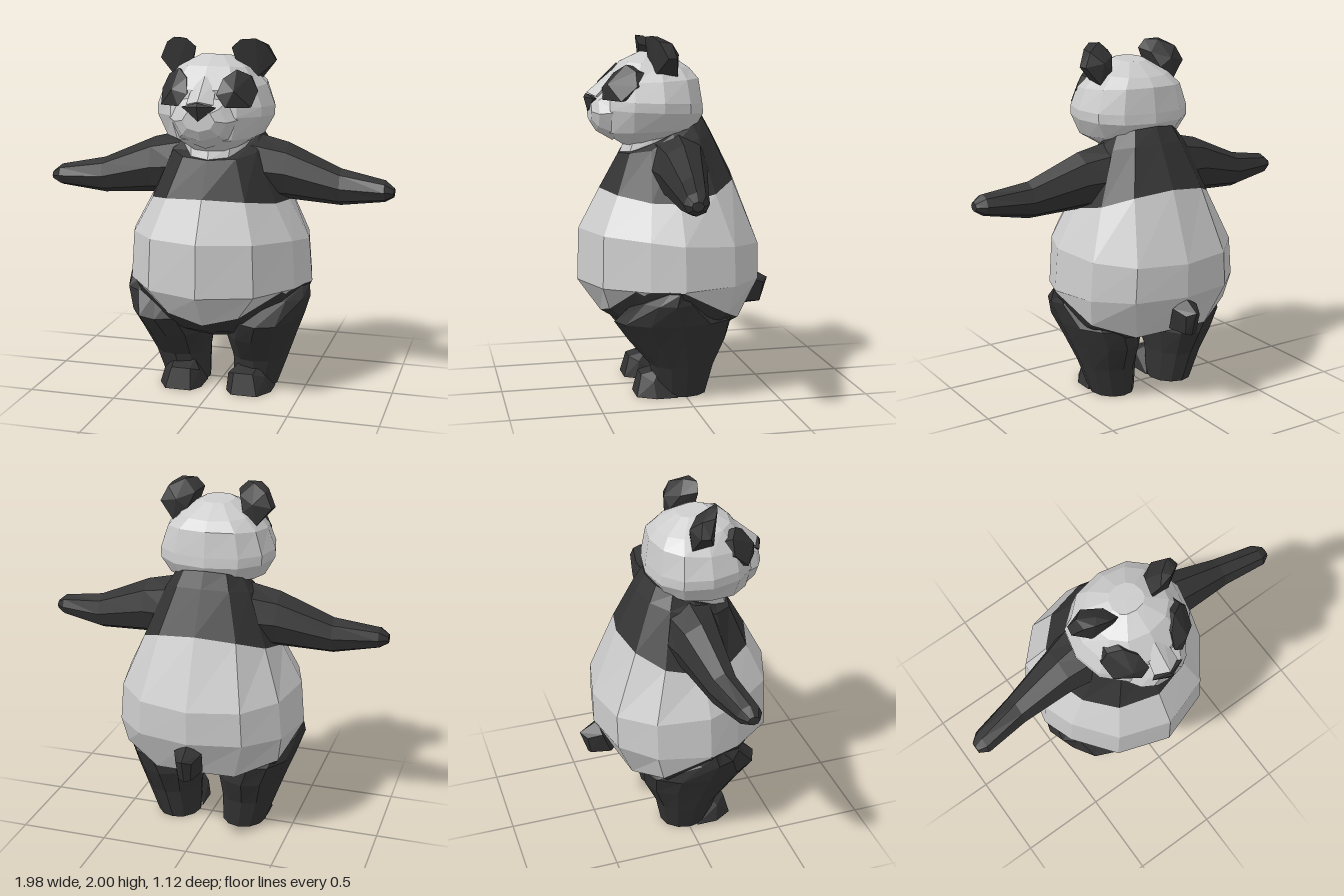
import * as THREE from 'three';
import { ConvexGeometry } from 'three/addons/geometries/ConvexGeometry.js';

const V = (x, y, z) => new THREE.Vector3(x, y, z);
const lerp = THREE.MathUtils.lerp;
const white = new THREE.MeshStandardMaterial({ color: 0xcccccc, flatShading: true });
const black = new THREE.MeshStandardMaterial({ color: 0x333333, flatShading: true });

// Closed skin through rings of points (counter-clockwise around the direction of travel)
function loft(rings) {
  const n = rings[0].length, pos = [];
  const tri = (...p) => p.forEach(v => pos.push(v.x, v.y, v.z));
  for (let r = 0; r < rings.length - 1; r++) {
    for (let j = 0; j < n; j++) {
      const k = (j + 1) % n;
      const a = rings[r][j], b = rings[r][k], c = rings[r + 1][k], d = rings[r + 1][j];
      tri(a, b, c);
      tri(a, c, d);
    }
  }
  const centre = ring => ring.reduce((s, p) => s.add(p), V(0, 0, 0)).divideScalar(n);
  const first = rings[0], last = rings[rings.length - 1];
  const c0 = centre(first), c1 = centre(last);
  for (let j = 0; j < n; j++) {
    const k = (j + 1) % n;
    tri(c0, first[k], first[j]);
    tri(c1, last[j], last[k]);
  }
  const g = new THREE.BufferGeometry();
  g.setAttribute('position', new THREE.Float32BufferAttribute(pos, 3));
  g.computeVertexNormals();
  return g;
}

const angles = n => Array.from({ length: n }, (_, i) => (i / n) * Math.PI * 2);

// Tilted horizontal ring: heights and depths at front and back, half width, side offset.
// A larger front power gives a more pointed front; the back stays round.
function ring(yf, yb, w, zf, zb, zc = 0.05, power = 1.5, dip = 0) {
  return angles(12).map(a => {
    const s = Math.sin(a), c = Math.cos(a);
    const x = Math.sign(s) * w * Math.pow(Math.abs(s), 0.85);
    const depth = c > 0 ? Math.pow(c, power) * (zf - zc) : Math.pow(-c, 0.88) * (zb - zc);
    return V(x, lerp(yf, yb, (1 - c) / 2) + dip * s * s, zc + depth);
  });
}

const mirrorPoints = pts => pts.map(p => V(-p.x, p.y, p.z));
const mirrorRings = rings => rings.map(r => mirrorPoints(r).reverse());

export function createModel() {
  const model = new THREE.Group();
  const add = (name, geometry, material) => {
    const m = new THREE.Mesh(geometry, material);
    m.name = name;
    model.add(m);
  };
  const points = list => list.map(p => V(...p));
  const pairLoft = (name, rings, mat) => {
    add('left' + name, loft(rings), mat);
    add('right' + name, loft(mirrorRings(rings)), mat);
  };
  const pairHull = (name, pts, mat) => {
    add('left' + name, new ConvexGeometry(pts), mat);
    add('right' + name, new ConvexGeometry(mirrorPoints(pts)), mat);
  };

  // Seam between belly and hips, one half from front to back, then mirrored
  const seamHalf = points([
    [0, 0.45, 0.43], [0.2, 0.5, 0.41], [0.42, 0.643, 0.305], [0.535, 0.643, 0.06],
    [0.45, 0.5, -0.2], [0.23, 0.42, -0.32], [0, 0.44, -0.365],
  ]);
  const hipSeam = [...seamHalf, ...mirrorPoints(seamHalf.slice(1, 6)).reverse()];
  const chestSeam = ring(1.155, 1.235, 0.4, 0.43, -0.33, 0.05, 1.35, -0.09);

  // Torso
  add('belly', loft([
    hipSeam,
    ring(0.635, 0.66, 0.537, 0.56, -0.48),
    ring(0.93, 0.85, 0.517, 0.55, -0.48),
    chestSeam,
  ]), white);
  add('hips', loft([
    ring(0.325, 0.33, 0.2, 0.2, -0.1),
    ring(0.38, 0.38, 0.42, 0.32, -0.24),
    hipSeam,
  ]), black);
  add('chest', loft([
    chestSeam,
    ring(1.35, 1.47, 0.27, 0.32, -0.21, 0.05, 1.1),
    ring(1.375, 1.56, 0.22, 0.24, -0.16, 0.05, 1.1),
  ]), black);
  add('throat', loft([
    ring(1.345, 1.45, 0.19, 0.315, -0.08, 0.05, 1.1),
    ring(1.41, 1.5, 0.2, 0.29, -0.08, 0.05, 1.1),
  ]), white);

  // Head
  const headRing = (yf, yb, w, zf, zb) => ring(yf, yb, w, zf, zb, 0.12, 0.95);
  add('head', loft([
    headRing(1.395, 1.45, 0.15, 0.29, 0.03),
    headRing(1.47, 1.5, 0.27, 0.41, -0.12),
    headRing(1.6, 1.575, 0.328, 0.43, -0.16),
    headRing(1.65, 1.63, 0.33, 0.42, -0.155),
    headRing(1.74, 1.77, 0.285, 0.41, -0.135),
    headRing(1.86, 1.82, 0.21, 0.31, -0.09),
    headRing(1.915, 1.895, 0.09, 0.19, 0.02),
  ]), white);

  // Muzzle, lofted forwards: depth, low, high, half width
  add('muzzle', loft([
    [0.35, 1.42, 1.76, 0.21], [0.445, 1.475, 1.68, 0.145], [0.48, 1.53, 1.645, 0.09],
  ].map(([z, lo, hi, w]) => angles(8).map(a =>
    V(w * Math.cos(a), (lo + hi) / 2 + (hi - lo) / 2 * Math.sin(a), z)))), white);
  add('noseBridge', new ConvexGeometry(points([
    [0, 1.81, 0.355], [0.06, 1.79, 0.34], [-0.06, 1.79, 0.34], [0, 1.69, 0.495],
    [0.075, 1.67, 0.455], [-0.075, 1.67, 0.455], [0, 1.65, 0.4],
  ])), white);
  add('nose', new ConvexGeometry(points([
    [0.095, 1.66, 0.47], [-0.095, 1.66, 0.47], [0, 1.685, 0.5],
    [0, 1.665, 0.512], [0, 1.585, 0.49], [0, 1.65, 0.4],
  ])), black);

  // Eye patches: an outline around a raised middle, with some thickness behind it
  const patch = points([
    [0.08, 1.72, 0.42], [0.1, 1.8, 0.36], [0.16, 1.845, 0.3], [0.228, 1.81, 0.26],
    [0.268, 1.73, 0.26], [0.25, 1.65, 0.345], [0.13, 1.655, 0.425], [0.17, 1.74, 0.405],
  ]);
  const patchBack = patch.map(p => V(lerp(p.x, 0.17, 0.15), lerp(p.y, 1.74, 0.15), p.z - 0.07));
  pairHull('EyePatch', [...patch, ...patchBack], black);

  // Ears flare out from a narrow base
  pairHull('Ear', points([
    [0.33, 1.88, 0.1], [0.28, 1.97, 0.14], [0.23, 2, 0.17], [0.15, 1.995, 0.19],
    [0.1, 1.95, 0.18], [0.125, 1.87, 0.17], [0.235, 1.79, 0.15],
    [0.32, 1.88, 0.05], [0.28, 1.96, 0.07], [0.2, 1.995, 0.13], [0.13, 1.93, 0.09],
    [0.16, 1.85, 0.04], [0.24, 1.78, 0.03], [0.22, 1.9, 0.02],
  ]), black);

  // Arms, lofted outwards: x, low, high, back, front
  pairLoft('Arm', [
    [0.2, 1.1, 1.47, -0.16, 0.2], [0.39, 1.105, 1.425, -0.1, 0.165],
    [0.69, 1.09, 1.295, -0.03, 0.14], [0.94, 1.13, 1.25, 0.03, 0.165],
    [0.99, 1.16, 1.21, 0.07, 0.135],
  ].map(([x, lo, hi, zb, zf]) => angles(8).map(a =>
    V(x, (lo + hi) / 2 + (hi - lo) / 2 * Math.cos(a), (zb + zf) / 2 + (zf - zb) / 2 * Math.sin(a)))), black);

  // Legs, lofted upwards: y, inner x, outer x, back, front
  pairLoft('Leg', [
    [0, 0.075, 0.33, -0.14, 0.15], [0.18, 0.07, 0.395, -0.18, 0.19],
    [0.33, 0.045, 0.45, -0.25, 0.315], [0.45, 0.08, 0.497, -0.27, 0.4],
    [0.57, 0.1, 0.538, -0.08, 0.28], [0.635, 0.12, 0.53, -0.02, 0.18],
  ].map(([y, x0, x1, zb, zf]) => angles(12).map(a =>
    V((x0 + x1) / 2 + (x1 - x0) / 2 * Math.sin(a), y, (zb + zf) / 2 + (zf - zb) / 2 * Math.cos(a)))), black);

  // Feet
  pairHull('Foot', points([
    [0.075, 0, 0.05], [0.33, 0, 0.05], [0.075, 0, 0.2], [0.33, 0, 0.17],
    [0.12, 0, 0.27], [0.27, 0, 0.27], [0.085, 0.1, 0.19], [0.3, 0.09, 0.18],
    [0.13, 0.12, 0.24], [0.24, 0.12, 0.24], [0.13, 0.145, 0.14], [0.25, 0.145, 0.14],
  ]), black);

  // Tail
  add('tail', new ConvexGeometry(points([
    [0, 0.65, -0.46], [0.08, 0.6, -0.45], [-0.08, 0.6, -0.45], [0.07, 0.47, -0.4],
    [-0.07, 0.47, -0.4], [0, 0.44, -0.36], [0, 0.59, -0.565], [0.045, 0.57, -0.53],
    [-0.045, 0.57, -0.53], [0.035, 0.46, -0.51], [-0.035, 0.46, -0.51], [0, 0.45, -0.52],
  ])), black);

  return model;
}
